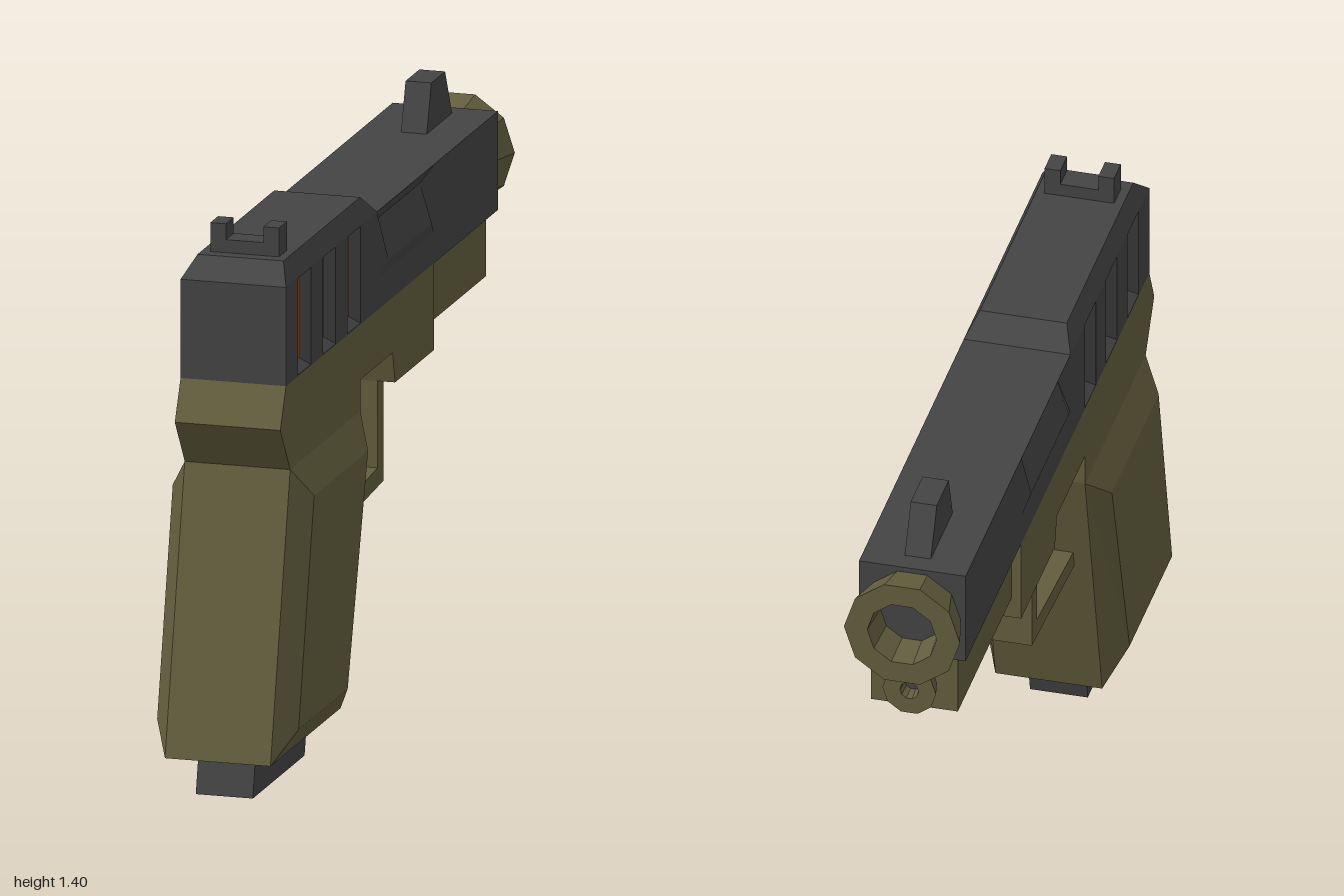
import * as THREE from 'three';

const grey = new THREE.MeshStandardMaterial({ color: 0x444444 });
grey.name = 'dark grey metal';
const olive = new THREE.MeshStandardMaterial({ color: 0x635e3d });
olive.name = 'olive polymer';
const orange = new THREE.MeshStandardMaterial({ color: 0xb8590e });
orange.name = 'orange inlay';

export function createModel() {
  const model = new THREE.Group();
  const add = (name, geometry, material, x = 0, y = 0, z = 0) => {
    const mesh = new THREE.Mesh(geometry, material);
    mesh.name = name;
    mesh.position.set(x, y, z);
    model.add(mesh);
    return mesh;
  };

  // Box given by its lower and upper corners
  const box = (name, material, [x0, y0, z0], [x1, y1, z1]) =>
    add(name, new THREE.BoxGeometry(x1 - x0, y1 - y0, z1 - z0), material,
      (x0 + x1) / 2, (y0 + y1) / 2, (z0 + z1) / 2);

  // Side outline of [z, y] points, extruded across x
  const profile = (name, material, points, x0, x1, holes = []) => {
    const toVectors = (list) => list.map(([z, y]) => new THREE.Vector2(z, y));
    const shape = new THREE.Shape(toVectors(points));
    for (const hole of holes) shape.holes.push(new THREE.Path(toVectors(hole)));
    const geometry = new THREE.ExtrudeGeometry(shape, { depth: x1 - x0, bevelEnabled: false });
    geometry.rotateY(-Math.PI / 2);
    return add(name, geometry, material, x1);
  };

  // Flat-faced skin through loops of [x, y, z] points, with optional end caps
  const loft = (loops, capStart, capEnd) => {
    const out = [];
    const fan = (l) => {
      for (let i = 1; i < l.length - 1; i++) out.push(...l[0], ...l[i], ...l[i + 1]);
    };
    for (let k = 0; k < loops.length - 1; k++) {
      const a = loops[k], b = loops[k + 1];
      a.forEach((p, i) => {
        const j = (i + 1) % a.length;
        out.push(...p, ...a[j], ...b[j], ...p, ...b[j], ...b[i]);
      });
    }
    if (capStart) fan([...loops[0]].reverse());
    if (capEnd) fan(loops[loops.length - 1]);
    const geometry = new THREE.BufferGeometry();
    geometry.setAttribute('position', new THREE.Float32BufferAttribute(out, 3));
    geometry.computeVertexNormals();
    return geometry;
  };

  // Rectangle loops in the side plane and in the top plane
  const sideRect = (z0, z1, y0, y1) => [[z1, y0], [z0, y0], [z0, y1], [z1, y1]];
  const topRect = (y, w, z0, z1) => [[-w, y, z1], [w, y, z1], [w, y, z0], [-w, y, z0]];

  // Slide: inner core with a pierced skin on each side
  const W = 0.135;
  box('slideCore', grey, [-0.101, 1.03, -0.9], [0.101, 1.28, 0.87]);
  const slots = [0.715, 0.508, 0.302].map((z) => ({
    name: 'rearSlot',
    outer: sideRect(z - 0.053, z + 0.053, 1.033, 1.278),
    inner: sideRect(z - 0.034, z + 0.034, 1.053, 1.257),
    depths: [0.11, 0.11, 0.11, 0.11],
    floor: orange,
  }));
  const port = {
    name: 'ejectionPanel',
    outer: sideRect(-0.36, 0.11, 1.11, 1.278),
    inner: sideRect(-0.31, 0.05, 1.145, 1.245),
    depths: [0.146, 0.146, 0.116, 0.116],
    floor: grey,
  };
  const recesses = [...slots, port];
  for (const s of [1, -1]) {
    const side = s > 0 ? 'left' : 'right';
    profile(side + 'SlideSkin', grey, sideRect(-0.9, 0.87, 1.03, 1.28),
      s > 0 ? 0.1 : -W, s > 0 ? W : -0.1, recesses.map((r) => r.outer));
    for (const r of recesses) {
      const place = (loop, xs) => {
        const points = loop.map(([z, y], i) => [s * xs[i], y, z]);
        return s > 0 ? points : points.reverse();
      };
      const rim = place(r.outer, [W, W, W, W]);
      const bed = place(r.inner, r.depths);
      add(side + r.name + 'Walls', loft([rim, bed]), grey);
      add(side + r.name + 'Floor', loft([bed], false, true), r.floor);
    }
  }

  // Raised rear top and sights
  add('slideHump', loft([topRect(1.28, W, 0.11, 0.87), topRect(1.33, 0.11, 0.17, 0.81)],
    false, true), grey);
  box('rearSightBase', grey, [-0.088, 1.32, 0.71], [0.088, 1.363, 0.775]);
  for (const s of [-1, 1]) {
    box('rearSightPost', grey, [s * 0.068 - 0.02, 1.36, 0.71], [s * 0.068 + 0.02, 1.403, 0.775]);
  }
  profile('frontSight', grey,
    [[-0.635, 1.275], [-0.675, 1.4], [-0.79, 1.4], [-0.85, 1.275]], -0.033, 0.033);

  // Flared ten-sided tubes pointing forward
  const flare = (name, points, y) => {
    const lathe = new THREE.LatheGeometry(
      points.map(([r, d]) => new THREE.Vector2(r, d)), 10, Math.PI / 2);
    const geometry = lathe.toNonIndexed();
    geometry.rotateX(-Math.PI / 2);
    geometry.computeVertexNormals();
    add(name, geometry, olive, 0, y, 0);
  };
  const disc = (name, radius, y, z) => {
    const geometry = new THREE.CircleGeometry(radius, 10);
    geometry.rotateY(Math.PI);
    add(name, geometry, grey, 0, y, z);
  };
  flare('muzzle', [[0.12, 0.89], [0.147, 1.0], [0.088, 1.0], [0.08, 0.9]], 1.15);
  disc('bore', 0.085, 1.15, -0.903);
  flare('guideRod', [[0.054, 0.87], [0.068, 0.93], [0.024, 0.93], [0.02, 0.89]], 0.94);
  disc('guideRodHole', 0.024, 0.94, -0.892);

  // Frame and dust cover
  profile('frame', olive, [
    [0.87, 1.03], [0.918, 0.93], [0.835, 0.81], [0.25, 0.81], [0.25, 0.89],
    [-0.02, 0.89], [-0.04, 0.81], [-0.365, 0.81], [-0.365, 1.03],
  ], -W, W);
  box('dustCover', olive, [-0.11, 0.865, -0.88], [0.11, 1.03, -0.36]);

  // Trigger and its guard
  profile('triggerGuard', olive, [
    [-0.04, 0.82], [-0.09, 0.82], [-0.09, 0.545], [0.34, 0.515], [0.34, 0.56], [-0.04, 0.59],
  ], -0.09, 0.09);
  profile('trigger', grey, [[0.25, 0.895], [0.135, 0.665], [0.3, 0.65]], -0.04, 0.04);

  // Slanted grip with bevelled side panels
  const gripOuter = [[1.0, 0.1], [0.415, 0.1], [0.25, 0.81], [0.835, 0.81]];
  const gripPanel = [[0.915, 0.175], [0.505, 0.175], [0.335, 0.735], [0.785, 0.735]];
  const across = (loop, x) => loop.map(([z, y]) => [x, y, z]);
  add('grip', loft([
    across(gripPanel, -0.181), across(gripOuter, -W), across(gripOuter, W), across(gripPanel, 0.181),
  ], true, true), olive);
  profile('magazine', grey,
    [[0.92, 0.11], [0.945, 0], [0.513, 0], [0.487, 0.11]], -0.073, 0.073);

  return model;
}
